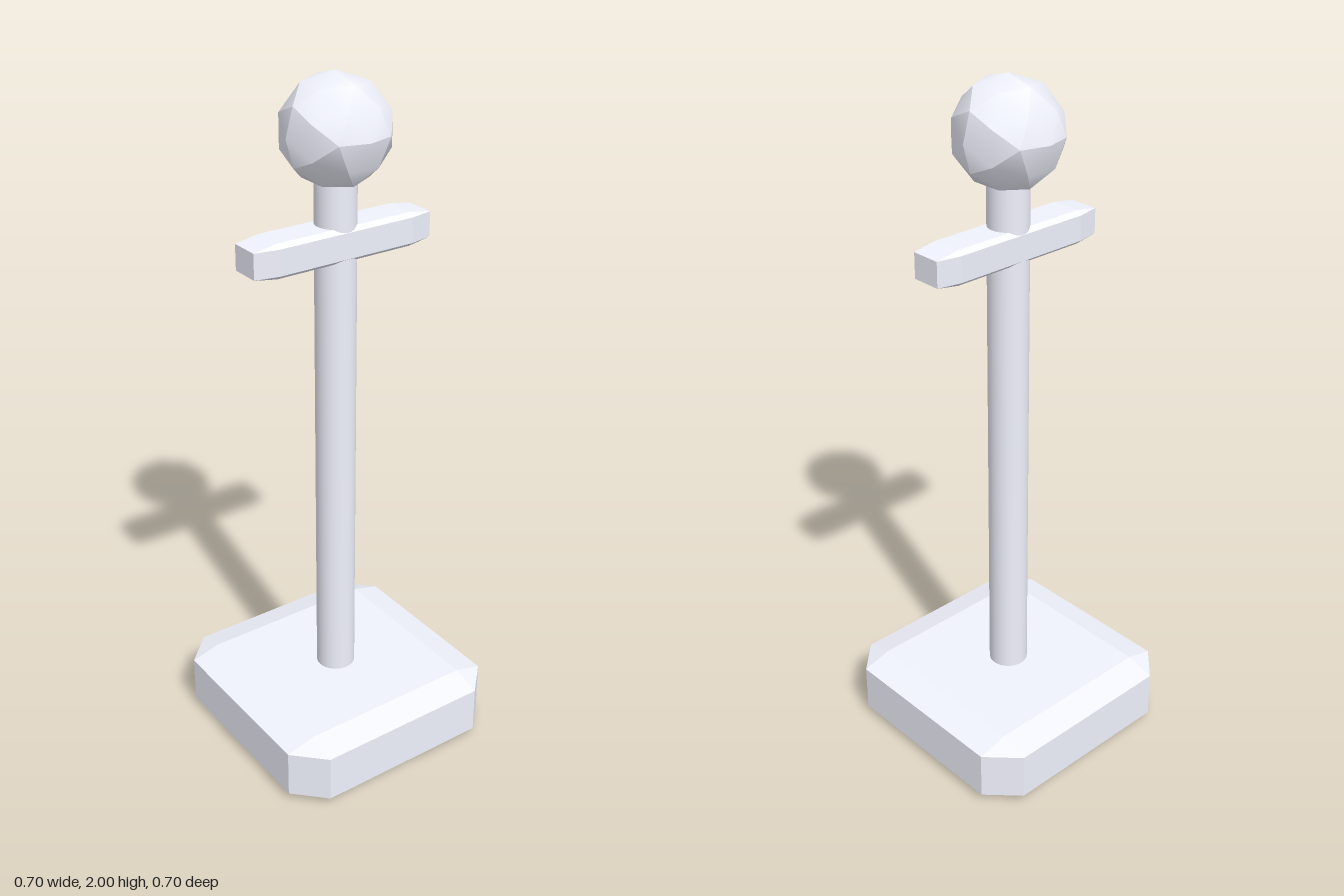
import * as THREE from 'three';
import { ConvexGeometry } from 'three/addons/geometries/ConvexGeometry.js';
import { mergeGeometries, mergeVertices } from 'three/addons/utils/BufferGeometryUtils.js';

const material = new THREE.MeshStandardMaterial({ color: 0xf0f2fd });

// Box with chamfers in proportion to each half size
function chamferedBox(hx, hy, hz, inner = 0.755) {
  const points = [];
  for (const x of [-hx, hx]) for (const y of [-hy, hy]) for (const z of [-hz, hz]) {
    points.push(
      new THREE.Vector3(x, y * inner, z * inner),
      new THREE.Vector3(x * inner, y, z * inner),
      new THREE.Vector3(x * inner, y * inner, z));
  }
  return new ConvexGeometry(points);
}

// Ball of twenty panels, each of four triangles: smooth inside, sharp between
function panelledBall(radius) {
  const positions = new THREE.IcosahedronGeometry(radius, 1).attributes.position.array;
  const panels = [];
  for (let i = 0; i < positions.length; i += 36) {
    const panel = new THREE.BufferGeometry();
    panel.setAttribute('position', new THREE.BufferAttribute(positions.slice(i, i + 36), 3));
    const smooth = mergeVertices(panel);
    smooth.computeVertexNormals();
    panels.push(smooth);
  }
  return mergeGeometries(panels).rotateY(Math.PI / 2);
}

export function createModel() {
  const model = new THREE.Group();
  model.name = 'post';

  function add(name, geometry, y) {
    const mesh = new THREE.Mesh(geometry, material);
    mesh.name = name;
    mesh.position.y = y;
    model.add(mesh);
  }

  // Chamfered foot
  add('base', chamferedBox(0.352, 0.095, 0.352), 0.095);

  // Round upright, sunk into base and knob
  add('pole', new THREE.CylinderGeometry(0.0575, 0.0575, 1.63, 32), 0.92);

  // Chamfered bar through the pole
  add('crossbar', chamferedBox(0.282, 0.048, 0.058), 1.553);

  // Faceted ball on top
  add('knob', panelledBall(0.152), 1.848);

  return model;
}
